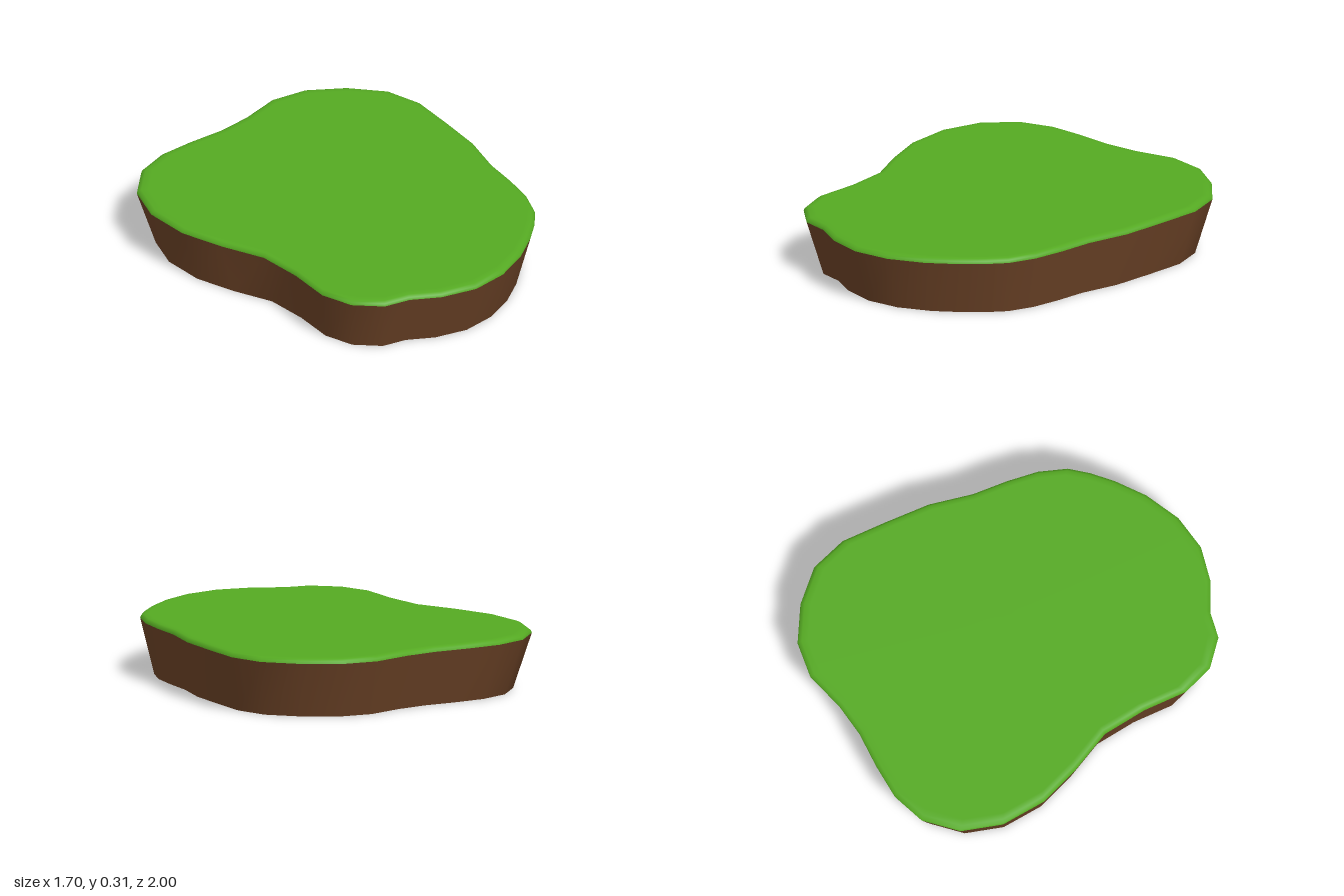
import * as THREE from 'three';

// Island outline (x, z), clockwise seen from above, starting at the back
const OUTLINE = [
  [-0.395, -1.0], [-0.21, -0.98], [-0.025, -0.947], [0.15, -0.942],
  [0.362, -0.966], [0.542, -0.913], [0.70, -0.78], [0.817, -0.61],
  [0.845, -0.42], [0.80, -0.19], [0.749, 0.04], [0.664, 0.25],
  [0.62, 0.426], [0.57, 0.58], [0.495, 0.71], [0.41, 0.786],
  [0.304, 0.86], [0.15, 0.942], [-0.035, 0.998], [-0.225, 0.998],
  [-0.40, 0.93], [-0.53, 0.833], [-0.66, 0.788], [-0.765, 0.66],
  [-0.797, 0.49], [-0.754, 0.267], [-0.74, 0.035], [-0.807, -0.193],
  [-0.85, -0.42], [-0.828, -0.653], [-0.733, -0.844], [-0.574, -0.966],
];

// Skins scaled copies of the outline, given as [scale, y] from the bottom up;
// capY closes the last ring with a fan
function loft(rings, capY) {
  const n = OUTLINE.length;
  const positions = [];
  const index = [];
  for (const [scale, y] of rings) {
    for (const [x, z] of OUTLINE) positions.push(x * scale, y, z * scale);
  }
  for (let r = 0; r < rings.length - 1; r++) {
    for (let i = 0; i < n; i++) {
      const a = r * n + i;
      const b = r * n + (i + 1) % n;
      index.push(a, a + n, b, b, a + n, b + n);
    }
  }
  if (capY !== undefined) {
    const base = (rings.length - 1) * n;
    const centre = rings.length * n;
    positions.push(0, capY, 0);
    for (let i = 0; i < n; i++) index.push(base + i, centre, base + (i + 1) % n);
  }
  const geometry = new THREE.BufferGeometry();
  geometry.setAttribute('position', new THREE.Float32BufferAttribute(positions, 3));
  geometry.setIndex(index);
  geometry.computeVertexNormals();
  return geometry;
}

export function createModel() {
  const grass = new THREE.MeshStandardMaterial({ color: 0x55aa22, side: THREE.DoubleSide });
  grass.name = 'grass green';
  const soil = new THREE.MeshStandardMaterial({ color: 0x6b4226, side: THREE.DoubleSide });
  soil.name = 'soil brown';

  const group = new THREE.Group();
  group.name = 'island';

  // Tapered soil wall, open underneath
  const soilWall = new THREE.Mesh(loft([[0.916, 0], [1, 0.28]]), soil);
  soilWall.name = 'soilWall';

  // Grass sheet with a rounded rim
  const grassTop = new THREE.Mesh(
    loft([[1, 0.28], [0.996, 0.293], [0.98, 0.302], [0.95, 0.305]], 0.305), grass);
  grassTop.name = 'grassTop';

  group.add(soilWall, grassTop);
  return group;
}
